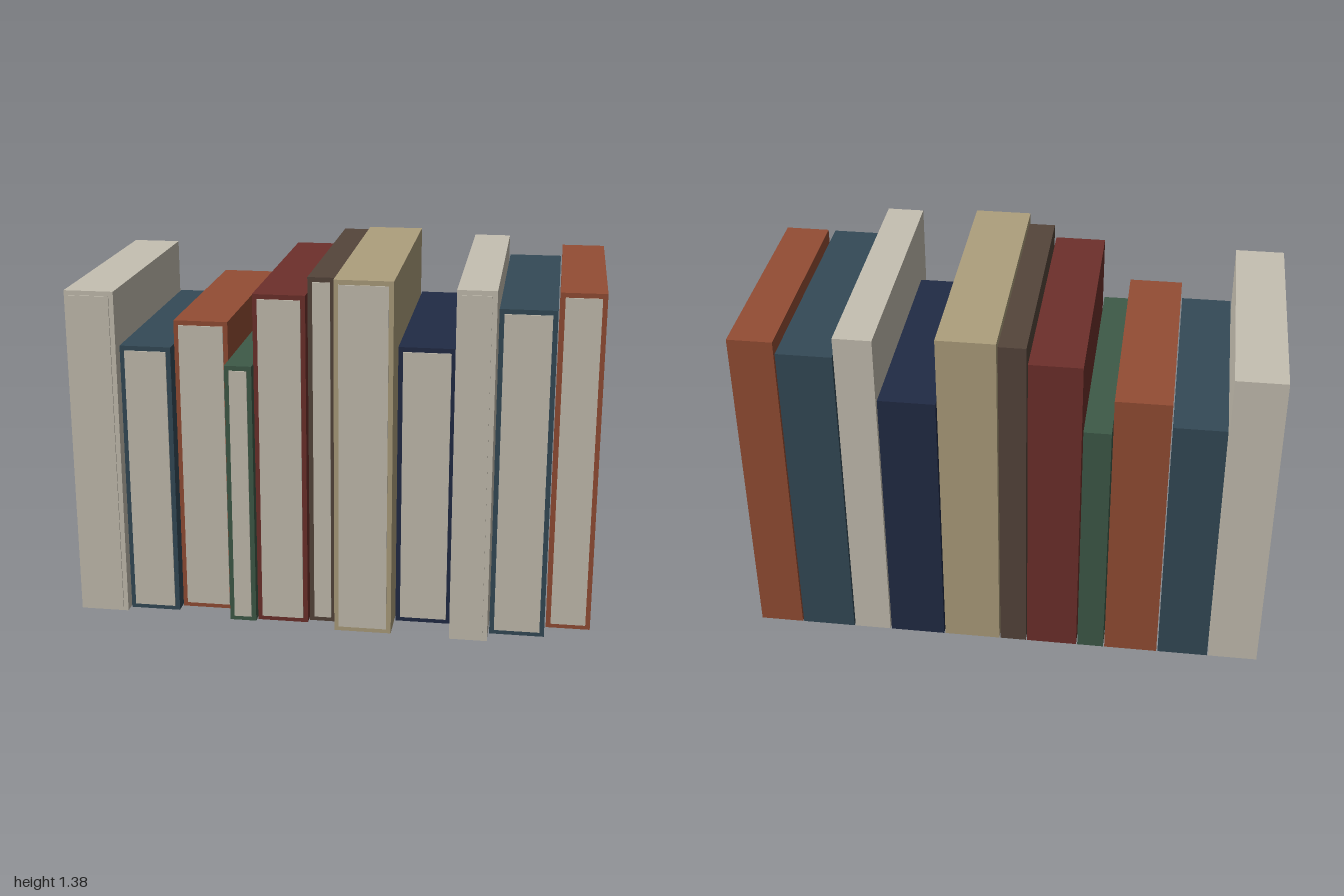
import * as THREE from 'three';

const BACK = -0.52;     // all spines line up at the back
const BORDER = 0.018;   // cover edge visible around the pages
const PROUD = 0.005;    // pages stand slightly proud of the cover

function material(name, color) {
  const m = new THREE.MeshStandardMaterial({ color });
  m.name = name;
  return m;
}

export function createModel() {
  const mats = {
    cream: material('cream', 0xc6c0b2),
    blue: material('slateBlue', 0x344a57),
    rust: material('rust', 0x944d34),
    green: material('green', 0x3e5a48),
    maroon: material('maroon', 0x6e302b),
    brown: material('brown', 0x55453b),
    tan: material('tan', 0xae9f7d),
    navy: material('navy', 0x212b45),
  };

  // left edge, right edge, height, front of cover, colour
  const books = [
    [-1.0, -0.811, 1.295, 0.45, 'cream'],
    [-0.806, -0.61, 1.08, 0.415, 'blue'],
    [-0.605, -0.398, 1.175, 0.373, 'rust'],
    [-0.393, -0.29, 1.033, 0.468, 'green'],
    [-0.285, -0.088, 1.305, 0.452, 'maroon'],
    [-0.083, 0.019, 1.37, 0.43, 'brown'],
    [0.024, 0.243, 1.38, 0.503, 'tan'],
    [0.248, 0.463, 1.108, 0.386, 'navy'],
    [0.468, 0.612, 1.36, 0.515, 'cream'],
    [0.617, 0.826, 1.28, 0.447, 'blue'],
    [0.831, 1.0, 1.327, 0.361, 'rust'],
  ];

  const box = (name, w, h, d, mat) => {
    const mesh = new THREE.Mesh(new THREE.BoxGeometry(w, h, d), mat);
    mesh.name = name;
    return mesh;
  };

  const row = new THREE.Group();
  row.name = 'bookRow';

  books.forEach(([x0, x1, h, front, color], i) => {
    const book = new THREE.Group();
    book.name = `book${i + 1}`;
    book.position.x = (x0 + x1) / 2;
    const w = x1 - x0;

    // solid cover with its spine at the back
    const cover = box('cover', w, h, front - BACK, mats[color]);
    cover.position.set(0, h / 2, (front + BACK) / 2);

    // page edges on the open front
    const pages = box('pages', w - 2 * BORDER, h - 2 * BORDER, PROUD, mats.cream);
    pages.position.set(0, h / 2, front + PROUD / 2);

    book.add(cover, pages);
    row.add(book);
  });

  return row;
}
